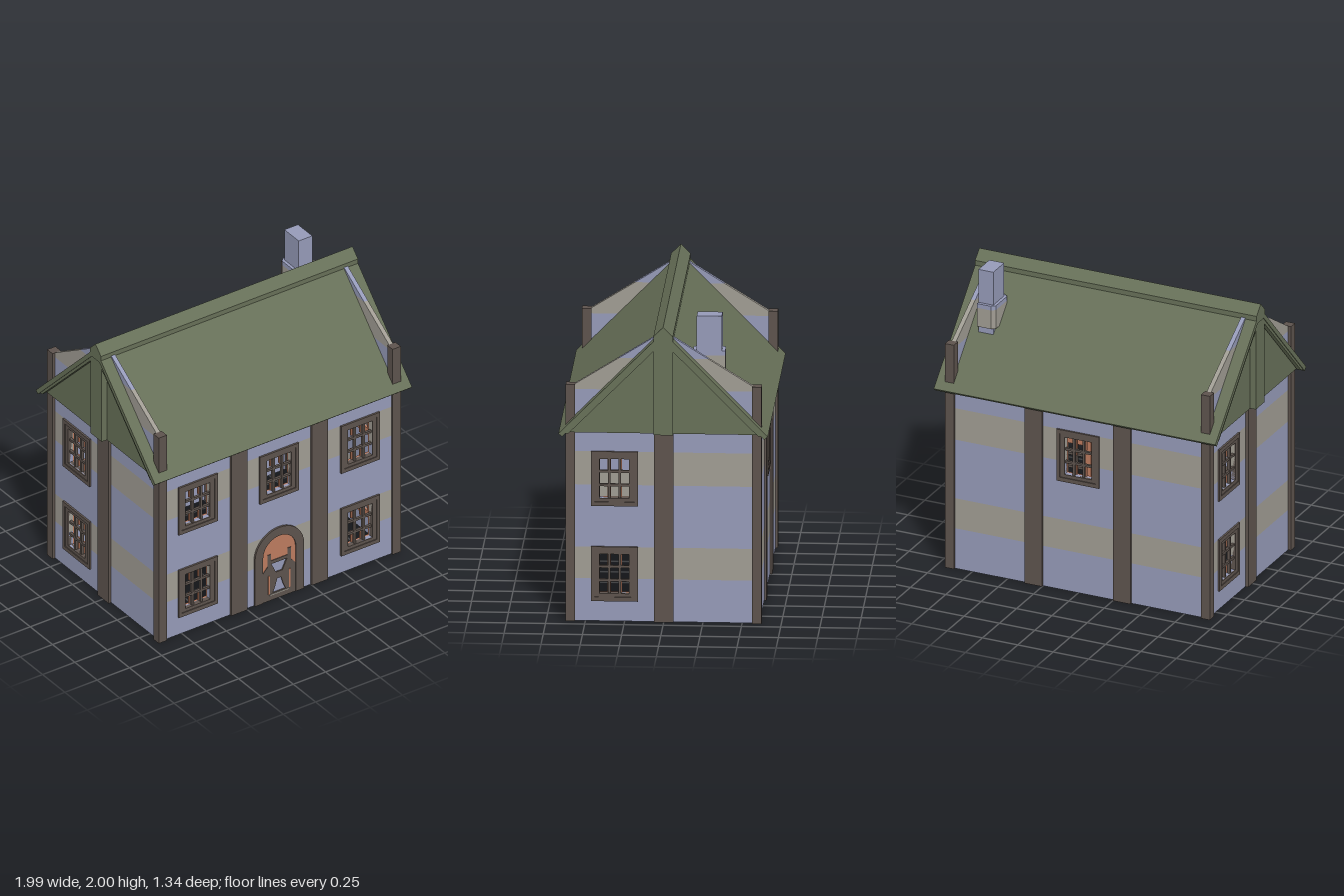
import * as THREE from 'three';

const material = (name, hex) => {
  const m = new THREE.MeshStandardMaterial({ color: hex });
  m.name = name;
  return m;
};

export function createModel() {
  const blue = material('blue plaster', 0x959ab8);
  const tan = material('tan plaster', 0xa09c93);
  const brown = material('dark timber', 0x5d534d);
  const green = material('roof green', 0x677058);
  const orange = material('orange wood', 0xbd7b5f);

  const house = new THREE.Group();
  house.name = 'house';

  const group = (name, parent = house) => {
    const g = new THREE.Group();
    g.name = name;
    parent.add(g);
    return g;
  };
  const box = (name, mat, w, h, d, x, y, z, parent = house) => {
    const m = new THREE.Mesh(new THREE.BoxGeometry(w, h, d), mat);
    m.name = name;
    m.position.set(x, y, z);
    parent.add(m);
    return m;
  };
  const outline = pts => new THREE.Shape(pts.map(p => new THREE.Vector2(p[0], p[1])));
  // Extrusion centred on z
  const slab = (name, mat, shape, depth, z = 0, parent = house) => {
    const geo = new THREE.ExtrudeGeometry(shape, { depth, bevelEnabled: false, curveSegments: 10 });
    geo.translate(0, 0, z - depth / 2);
    const m = new THREE.Mesh(geo, mat);
    m.name = name;
    parent.add(m);
    return m;
  };
  const rect = (w, h) => outline([[-w / 2, -h / 2], [w / 2, -h / 2], [w / 2, h / 2], [-w / 2, h / 2]]);
  const ring = (w, h, iw, ih) => {
    const s = rect(w, h);
    s.holes.push(rect(iw, ih));
    return s;
  };

  // Plaster bands
  const edges = [0, 0.28, 0.49, 0.9, 1.12, 1.53, 1.74, 1.9];
  const T = 0.03, OW = 0.19, OH = 0.26;

  // Wall made of horizontal bands, with notches where windows cross a band
  function wall(name, half, top, windows, eaves = 9) {
    const g = group(name);
    const widthAt = y => (y <= eaves ? half : half - (y - eaves) * 1.6);
    for (let i = 0; i < 7 && edges[i] < top; i++) {
      const y0 = edges[i], y1 = Math.min(edges[i + 1], top);
      const low = [], high = [];
      [...windows].sort((a, b) => a[0] - b[0]).forEach(([x, y]) => {
        const a = x - OW / 2, b = x + OW / 2, lo = y - OH / 2, hi = y + OH / 2;
        if (lo < y0 && hi > y0) low.push([a, y0], [a, hi], [b, hi], [b, y0]);
        if (lo < y1 && hi > y1) high.push([a, y1], [a, lo], [b, lo], [b, y1]);
      });
      const knee = eaves > y0 && eaves < y1;
      slab('plasterBand', i % 2 ? tan : blue, outline([
        [-widthAt(y0), y0], ...low, [widthAt(y0), y0], ...(knee ? [[half, eaves]] : []),
        [widthAt(y1), y1], ...high.reverse(), [-widthAt(y1), y1], ...(knee ? [[-half, eaves]] : []),
      ]), T, 0, g);
    }
    windows.forEach(([x, y]) => addWindow(g, x, y));
    return g;
  }

  // Stepped frame, glazing bars and orange inner lining
  function addWindow(parent, x, y) {
    const w = group('window', parent);
    w.position.set(x, y, 0);
    slab('outerFrame', brown, ring(0.3, 0.36, 0.255, 0.305), 0.014, 0.021, w);
    slab('innerFrame', brown, ring(0.255, 0.305, OW, OH), 0.034, 0.005, w);
    slab('innerLining', orange, ring(0.3, 0.36, OW, OH), 0.014, -0.021, w);
    for (const s of [-1, 1]) {
      box('uprightBar', brown, 0.015, OH, 0.02, s * 0.034, 0, 0.004, w);
      box('crossBar', brown, OW, 0.016, 0.018, 0, s * 0.045, 0.004, w);
      for (const t of [-1, 1]) box('innerBar', orange, 0.024, 0.08, 0.012, s * 0.035, t * 0.09, -0.018, w);
    }
  }

  // Four walls
  const LOW = 0.313, HIGH = 0.942;
  const front = wall('frontWall', 0.9, 1.27,
    [[-0.628, LOW], [0.628, LOW], [-0.628, HIGH], [0, HIGH], [0.628, HIGH]]);
  front.position.z = 0.595;
  const back = wall('backWall', 0.9, 1.27, [[0, HIGH]]);
  back.rotation.y = Math.PI;
  back.position.z = -0.595;
  for (const s of [1, -1]) {
    const side = wall(s > 0 ? 'leftGableWall' : 'rightGableWall', 0.59, 1.9,
      [[-0.315, LOW], [-0.315, HIGH]], 1.55);
    side.rotation.y = s * Math.PI / 2;
    side.position.x = s * 0.901;
  }

  // Timber posts
  for (const sx of [-1, 1]) {
    for (const sz of [-1, 1]) {
      box('cornerPost', brown, 0.063, 1.565, 0.06, sx * 0.905, 0.7825, sz * 0.595);
      box('wallPost', brown, 0.125, 1.25, 0.06, sx * 0.3125, 0.625, sz * 0.595);
    }
    box('sidePost', brown, 0.063, 1.25, 0.124, sx * 0.905, 0.625, 0);
  }

  // Arched door, the same on both faces of the front wall
  const arch = (r, y0) => {
    const s = new THREE.Shape();
    s.moveTo(r, y0);
    s.lineTo(r, 0.345);
    s.absarc(0, 0.345, r, 0, Math.PI, false);
    s.lineTo(-r, y0);
    return s;
  };
  const door = group('door', front);
  const surround = arch(0.19, 0);
  surround.lineTo(-0.127, 0);
  surround.lineTo(-0.127, 0.345);
  surround.absarc(0, 0.345, 0.127, Math.PI, 0, true);
  surround.lineTo(0.127, 0);
  const fan = arch(0.127, 0.2);
  [[-0.07, 0.2], [-0.07, 0.285], [0.07, 0.285], [0.07, 0.2]].forEach(p => fan.lineTo(...p));
  const leaf = outline([[-0.127, 0], [0.127, 0], [0.127, 0.22], [0.09, 0.26], [0.09, 0.35], [0.065, 0.35],
    [0.065, 0.3], [-0.065, 0.3], [-0.065, 0.35], [-0.09, 0.35], [-0.09, 0.26], [-0.127, 0.22]]);
  leaf.holes.push(
    outline([[-0.06, 0.275], [-0.025, 0.2], [0.025, 0.2], [0.06, 0.275]]),
    outline([[-0.05, 0.05], [0.05, 0.05], [0.03, 0.1], [0.015, 0.15], [-0.015, 0.15], [-0.03, 0.1]]));
  slab('doorSurround', brown, surround, 0.056, 0, door);
  for (const s of [1, -1]) {
    slab('doorArchPanel', orange, fan, 0.006, s * 0.017, door);
    slab('doorLeaf', brown, leaf, 0.009, s * 0.0195, door);
    for (const t of [-1, 1]) box('doorTrim', orange, 0.012, 0.14, 0.004, t * 0.08, 0.12, s * 0.025, door);
    box('doorSill', tan, 0.15, 0.008, 0.004, 0, 0.042, s * 0.025, door);
  }

  // Roof slopes, ridge cap and gable ends
  const roof = group('roof');
  roof.rotation.y = Math.PI / 2;
  slab('roofSlopes', green, outline([[0.668, 1.255], [0, 1.935], [-0.668, 1.255],
    [-0.645, 1.235], [0, 1.895], [0.645, 1.235]]), 1.99, 0, roof);
  slab('ridgeCap', green, outline([[-0.062, 1.85], [0.062, 1.85], [0.062, 1.905],
    [0, 1.967], [-0.062, 1.905]]), 1.99, 0, roof);
  for (const s of [1, -1]) {
    slab('bargeBoard', green, outline([[0.645, 1.255], [0, 1.92], [-0.645, 1.255],
      [-0.605, 1.255], [0, 1.868], [0.605, 1.255]]), 0.03, s * 0.975, roof);
    slab('gablePanel', green, outline([[-0.63, 1.253], [0.63, 1.253], [0, 1.9]]), 0.03, s * 0.935, roof);
    box('gablePost', green, 0.124, 0.62, 0.05, 0, 1.563, s * 0.965, roof);
  }

  // Chimney with a chamfered, striped base
  const chimney = group('chimney');
  const base = outline([[0.825, 0.18], [0.825, 0.387], [0.725, 0.387], [0.7, 0.365], [0.7, 0.202], [0.725, 0.18]]);
  const layer = (mat, y0, y1) => {
    const m = slab('chimneyBase', mat, base, y1 - y0, (y0 + y1) / 2, chimney);
    m.rotation.x = -Math.PI / 2;
  };
  layer(tan, 1.61, 1.74);
  layer(blue, 1.74, 1.77);
  box('chimneyFoot', blue, 0.105, 0.17, 0.16, 0.7725, 1.53, -0.285, chimney);
  box('chimneyStack', blue, 0.105, 0.24, 0.16, 0.7725, 1.88, -0.285, chimney);

  return house;
}
